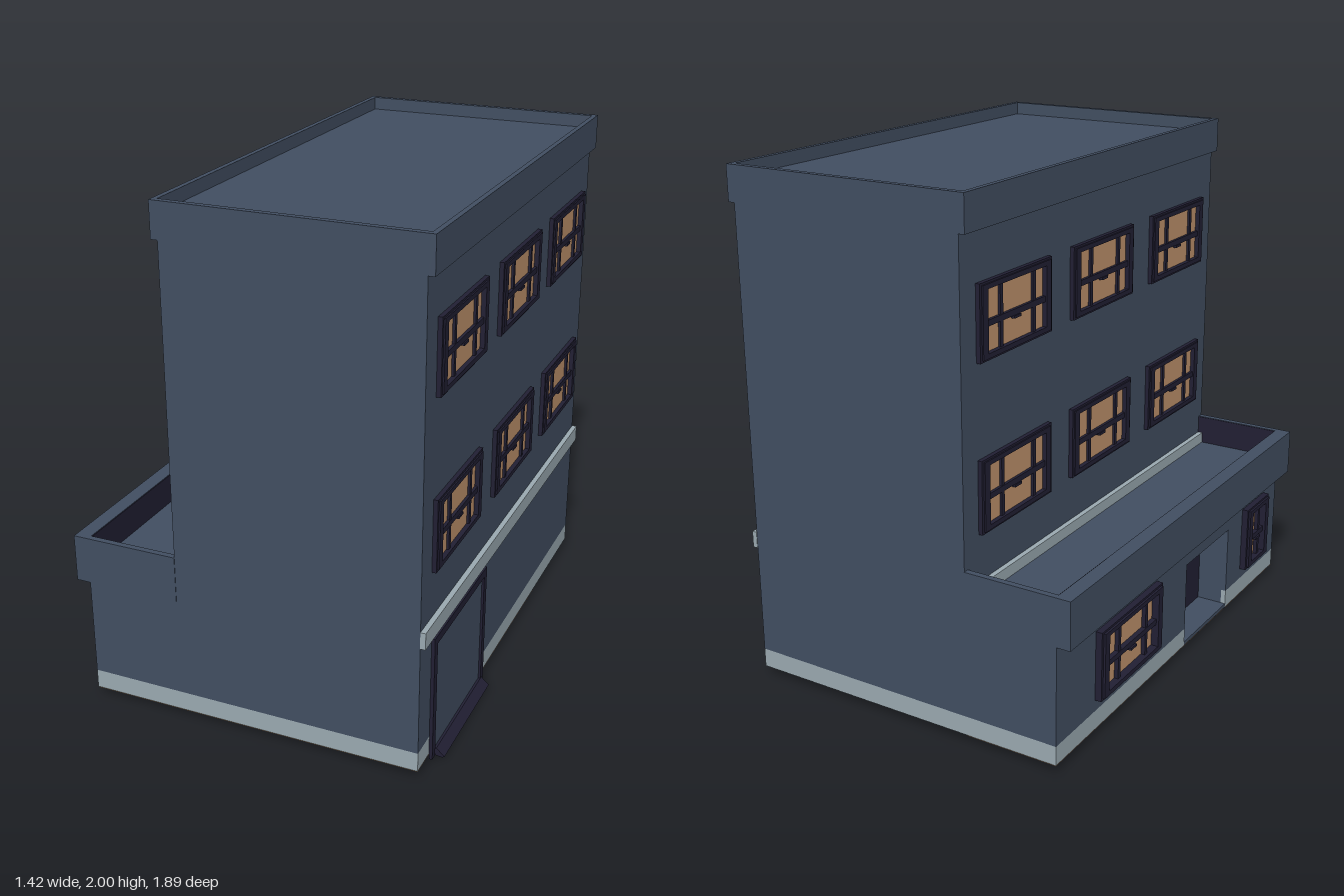
import * as THREE from 'three';

const material = (name, color, side = THREE.FrontSide) => {
  const m = new THREE.MeshStandardMaterial({ color, side });
  m.name = name;
  return m;
};

export function createModel() {
  const slate = material('slate wall', 0x414e61);
  const trim = material('dark trim', 0x211f33);
  const stone = material('pale stone', 0x9aa9b0);
  const tan = material('warm tan', 0xc0936c, THREE.DoubleSide);

  const building = new THREE.Group();
  building.name = 'building';

  // Box given by its limits on each axis
  function box(name, mat, [x0, x1], [y0, y1], [z0, z1], parent = building) {
    const mesh = new THREE.Mesh(new THREE.BoxGeometry(x1 - x0, y1 - y0, z1 - z0), mat);
    mesh.position.set((x0 + x1) / 2, (y0 + y1) / 2, (z0 + z1) / 2);
    mesh.name = name;
    parent.add(mesh);
    return mesh;
  }

  const BOTTOM = 0.035, BASE = 0.11, D = 0.942, T = 0.02;
  const MAIN = [-0.285, 0.665], ANNEX = -0.655;

  // Wall standing on a pale base course
  function wall(name, x, top, z) {
    box(name, slate, x, [BASE, top], z);
    box(name + 'Base', stone, x, [BOTTOM, BASE], z);
  }

  // Main block
  wall('sideWall', [MAIN[1] - T, MAIN[1]], 1.865, [-D, D]);
  box('rearWall', slate, [MAIN[0], MAIN[0] + T], [0.495, 1.865], [-D, D]);
  for (const s of [-1, 1]) {
    const z = s > 0 ? [D - T, D] : [-D, T - D];
    wall('endWall', [MAIN[0], MAIN[1] - T], 1.865, z);
    wall('annexEndWall', [ANNEX, MAIN[0]], 0.495, z);
  }

  // Annex long wall, with a recessed doorway
  const door = [0.06, 0.45], doorTop = 0.39, back = -0.53;
  wall('annexWall', [ANNEX, ANNEX + T], 0.495, [T - D, door[0]]);
  wall('annexWall', [ANNEX, ANNEX + T], 0.495, [door[1], D - T]);
  box('doorLintel', slate, [ANNEX, ANNEX + T], [doorTop, 0.495], door);
  box('alcoveSide', slate, [ANNEX + T, back], [BOTTOM, doorTop], [door[0] - T, door[0]]);
  box('alcoveSide', slate, [ANNEX + T, back], [BOTTOM, doorTop], [door[1], door[1] + T]);
  box('alcoveCeiling', slate, [ANNEX + T, back], [doorTop, doorTop + T], door);
  box('alcoveFloor', slate, [ANNEX, back], [BOTTOM, 0.05], door);
  box('rearDoor', trim, [back, back + T], [BOTTOM, doorTop], door);

  // Main roof and its parapet
  box('mainRoof', slate, [-0.29, 0.67], [1.865, 1.95], [-0.92, 0.92]);
  for (const x of [[-0.31, -0.29], [0.67, 0.69]]) box('parapetSide', slate, x, [1.865, 2], [-0.944, 0.944]);
  for (const z of [[-0.944, -0.92], [0.92, 0.944]]) box('parapetEnd', slate, [-0.29, 0.67], [1.865, 2], z);

  // Annex roof, parapet and its dark inner lining
  const annexRoofTop = 0.56, rim = 0.68;
  box('annexRoof', slate, [-0.65, MAIN[0]], [0.495, annexRoofTop], [-0.92, 0.92]);
  box('annexParapet', slate, [-0.71, -0.65], [0.495, rim], [-0.944, 0.944]);
  box('annexLining', trim, [-0.65, -0.647], [annexRoofTop, rim - 0.002], [-0.917, 0.917]);
  for (const s of [-1, 1]) {
    const span = (a, b) => (s > 0 ? [a, b] : [-b, -a]);
    box('annexParapetEnd', slate, [-0.65, MAIN[0]], [0.495, rim], span(0.92, 0.944));
    box('annexLiningEnd', trim, [-0.65, MAIN[0]], [annexRoofTop, rim - 0.002], span(0.917, 0.92));
  }

  // String courses on both long sides
  box('stringCourse', stone, [MAIN[1], 0.685], [0.54, 0.605], [-0.944, 0.944]);
  box('rearStringCourse', stone, [-0.305, MAIN[0]], [0.54, 0.605], [-0.92, 0.92]);

  // Window facing +z in its own space: glass, stepped frame, bars and handle
  function makeWindow(width, depth, bars) {
    const g = new THREE.Group();
    g.name = 'window';
    const w = width / 2, h = 0.1375;
    const ring = (name, ow, oh, iw, ih, z) => {
      box(name, trim, [-ow, ow], [ih, oh], [0, z], g);
      box(name, trim, [-ow, ow], [-oh, -ih], [0, z], g);
      box(name, trim, [-ow, -iw], [-ih, ih], [0, z], g);
      box(name, trim, [iw, ow], [-ih, ih], [0, z], g);
    };
    box('windowGlass', tan, [-w + 0.03, w - 0.03], [-h + 0.02, h - 0.02], [0, 0.004], g);
    ring('windowFrame', w, h, w - 0.022, h - 0.013, depth * 0.75);
    ring('windowSash', w - 0.012, h - 0.008, w - 0.044, h - 0.026, depth);
    for (const u of bars) box('windowBar', trim, [u - 0.009, u + 0.009], [-h + 0.02, h - 0.02], [0, depth * 0.6], g);
    box('windowRail', trim, [-w + 0.03, w - 0.03], [-0.02, 0.002], [0, depth * 0.7], g);
    box('windowHandle', trim, [-0.022, 0.022], [-0.03, -0.02], [0, depth * 0.9], g);
    return g;
  }

  function placeWindow(x, y, z, width = 0.46, depth = 0.022, bars = [-0.092, 0.117]) {
    const g = makeWindow(width, depth, bars);
    g.position.set(x, y, z);
    g.rotation.y = x > 0 ? Math.PI / 2 : -Math.PI / 2;
    building.add(g);
  }

  for (const z of [-0.62, -0.005, 0.615]) {
    placeWindow(MAIN[1], 1.565, z);
    placeWindow(MAIN[1], 0.9225, z);
    placeWindow(MAIN[0], 1.545, z);
    placeWindow(MAIN[0], 0.9225, z);
  }
  placeWindow(ANNEX, 0.2925, -0.435, 0.47, 0.034);
  placeWindow(ANNEX, 0.2925, 0.7, 0.22, 0.034, [0.025]);

  // Large side door with frame and sloping step
  box('doorPanel', slate, [MAIN[1], 0.669], [0.02, 0.485], [0.3, 0.8]);
  box('doorFrameTop', trim, [MAIN[1], 0.678], [0.483, 0.515], [0.27, 0.83]);
  for (const z of [[0.27, 0.3], [0.8, 0.83]]) box('doorFramePost', trim, [MAIN[1], 0.678], [0.012, 0.483], z);
  const profile = new THREE.Shape([[0.62, 0.034], [0.62, 0.012], [0.7, 0], [0.71, 0.006], [0.678, 0.034]]
    .map(([x, y]) => new THREE.Vector2(x, y)));
  const step = new THREE.Mesh(new THREE.ExtrudeGeometry(profile, { depth: 0.5, bevelEnabled: false }), trim);
  step.position.z = 0.288;
  step.name = 'doorStep';
  building.add(step);

  // Underside: partly open floor with a dark corner piece
  function floor(name, mat, points) {
    const geo = new THREE.ShapeGeometry(new THREE.Shape(points.map(([x, z]) => new THREE.Vector2(x, z))));
    const mesh = new THREE.Mesh(geo.rotateX(Math.PI / 2), mat);
    mesh.position.y = 0.033;
    mesh.name = name;
    building.add(mesh);
  }
  floor('floor', tan, [[0.665, D], [ANNEX, D], [ANNEX, -0.46], [0.665, -0.44]]);
  floor('annexFloorCorner', tan, [[ANNEX, -0.46], [ANNEX, -D], [MAIN[0], -D]]);
  floor('floorCorner', trim, [[0.665, -0.44], [MAIN[0], -D], [0.665, -D]]);

  return building;
}
